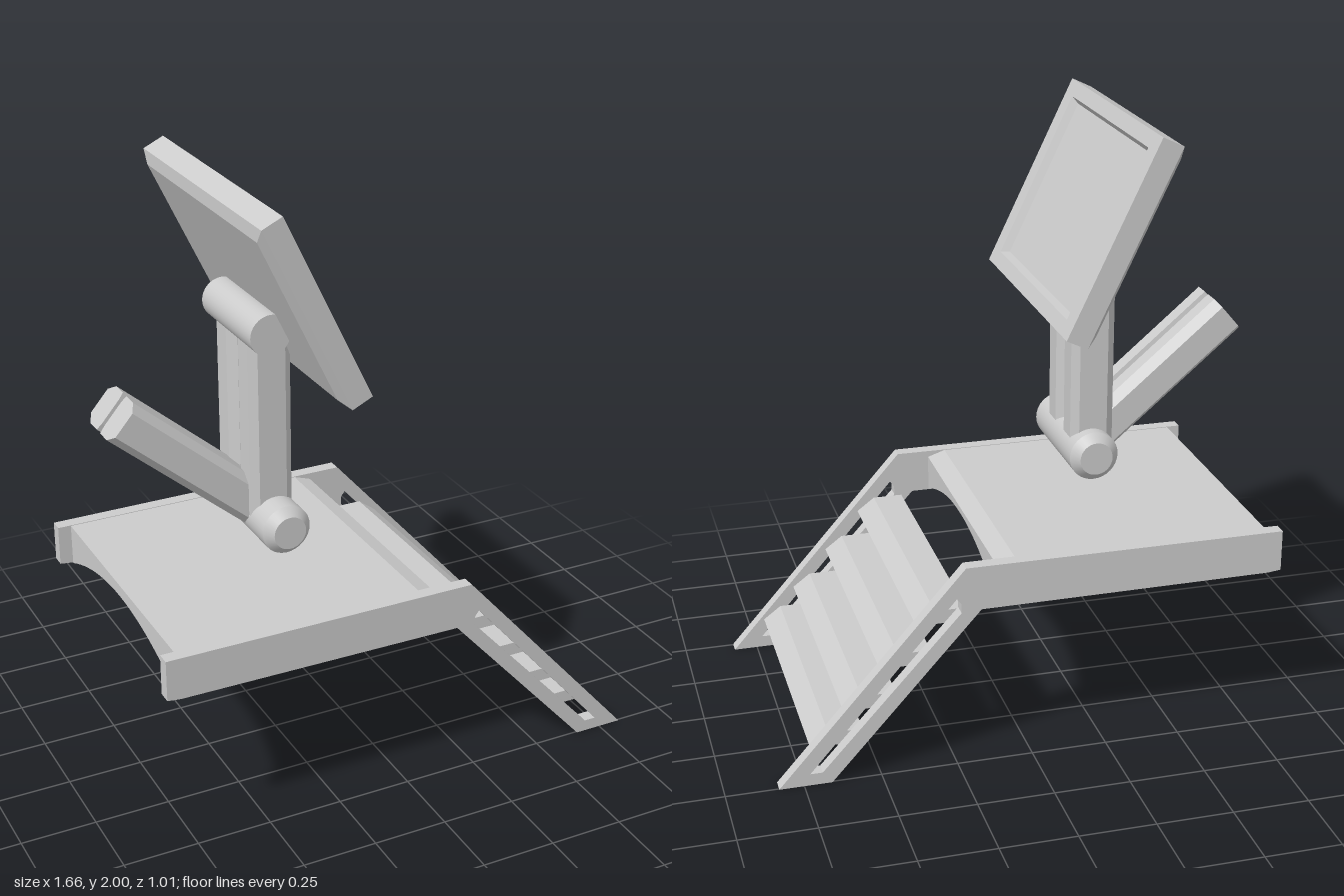
import * as THREE from 'three';

const material = new THREE.MeshStandardMaterial({ color: 0xcccccc });
const flatMaterial = new THREE.MeshStandardMaterial({ color: 0xcccccc, flatShading: true });

function polygon(points, Type = THREE.Shape) {
  return new Type(points.map(([x, y]) => new THREE.Vector2(x, y)));
}

function extrude(shape, depth) {
  return new THREE.ExtrudeGeometry(shape, { depth, bevelEnabled: false, curveSegments: 24 });
}

// Rectangular rings [halfWidth, halfHeight, z] joined into a closed, flat-sided body.
function loftRectangles(rings) {
  const positions = [];
  const corner = ([w, h, z], i) => [[-w, -h, z], [w, -h, z], [w, h, z], [-w, h, z]][i % 4];
  const quad = (a, b, c, d) => positions.push(...a, ...b, ...c, ...a, ...c, ...d);
  for (let r = 0; r < rings.length - 1; r++) {
    for (let i = 0; i < 4; i++) {
      quad(corner(rings[r], i), corner(rings[r], i + 1), corner(rings[r + 1], i + 1), corner(rings[r + 1], i));
    }
  }
  const first = rings[0], last = rings[rings.length - 1];
  quad(corner(first, 3), corner(first, 2), corner(first, 1), corner(first, 0));
  quad(corner(last, 0), corner(last, 1), corner(last, 2), corner(last, 3));
  const geometry = new THREE.BufferGeometry();
  geometry.setAttribute('position', new THREE.Float32BufferAttribute(positions, 3));
  geometry.computeVertexNormals();
  return geometry;
}

export function createModel() {
  const model = new THREE.Group();
  model.name = 'deckWithScreenArm';

  function add(name, geometry, x = 0, y = 0, z = 0, mat = material) {
    const mesh = new THREE.Mesh(geometry, mat);
    mesh.name = name;
    mesh.position.set(x, y, z);
    model.add(mesh);
    return mesh;
  }

  // Side rails: deck edge and stair stringer in one piece, with a long slot
  const railShape = polygon([
    [-0.835, 0.555], [-0.835, 0.692], [0.22, 0.692], [0.83, 0], [0.66, 0], [0.17, 0.545], [-0.79, 0.55],
  ]);
  railShape.holes.push(polygon([
    [0.25, 0.59], [0.235, 0.57], [0.235, 0.54], [0.69, 0.04], [0.73, 0.04],
  ], THREE.Path));
  const railGeometry = extrude(railShape, 0.045);
  add('leftRail', railGeometry, 0, 0, 0.46);
  add('rightRail', railGeometry, 0, 0, -0.505);

  // Deck: arched underside, front lip sloping down
  const deckShape = new THREE.Shape();
  deckShape.moveTo(-0.46, 0.69);
  deckShape.lineTo(-0.46, 0.547);
  deckShape.quadraticCurveTo(0, 0.753, 0.46, 0.547);
  deckShape.lineTo(0.46, 0.69);
  add('deck', extrude(deckShape, 0.84).rotateY(Math.PI / 2), -0.79);
  const lip = extrude(deckShape, 0.06).rotateY(Math.PI / 2);
  const p = lip.attributes.position;
  for (let i = 0; i < p.count; i++) {
    if (p.getX(i) > 0.03 && p.getY(i) > 0.68) p.setY(i, 0.67);
  }
  lip.computeVertexNormals();
  add('deckLip', lip, 0.05);

  // Stair treads with slanted fronts
  const treads = [[0.21, 0.31, 0.49], [0.325, 0.43, 0.355], [0.44, 0.55, 0.222], [0.55, 0.66, 0.107]];
  for (const [back, front, y] of treads) {
    const shape = polygon([[back, y + 0.045], [back + 0.05, y], [front + 0.06, y], [front, y + 0.045]]);
    add('tread', extrude(shape, 0.92), 0, 0, -0.46);
  }

  // Bars: chamfered prisms set in pairs, running up from a point at a tilt
  function barPair(name, x, y, tilt, length, halfWidth, inner, outer, innerCut, outerCut) {
    const h = halfWidth, c = 0.025;
    for (const s of [-1, 1]) {
      const section = polygon([
        [-h, inner + innerCut], [-h + c, inner], [h - c, inner], [h, inner + innerCut],
        [h, outer - outerCut], [h - c, outer], [-h + c, outer], [-h, outer - outerCut],
      ].map(([u, v]) => [u, v * s]));
      const bar = add(name, extrude(section, length).rotateX(-Math.PI / 2), x, y, 0.004);
      bar.rotation.z = tilt;
    }
  }
  barPair('uprightBar', -0.307, 0.88, 0, 0.66, 0.072, 0.012, 0.138, 0.035, 0.02);
  barPair('leaningBar', -0.3, 0.88, 0.863, 0.64, 0.07, 0.01, 0.106, 0.005, 0.035);

  // Lower hinge with bevelled ends
  const barrel = new THREE.CylinderGeometry(0.082, 0.082, 0.39, 32, 1, true).rotateX(Math.PI / 2);
  add('lowerHinge', barrel, -0.3, 0.88, 0.025);
  for (const s of [-1, 1]) {
    const cap = new THREE.CylinderGeometry(0.055, 0.082, 0.03, 32).rotateX(s * Math.PI / 2);
    add('lowerHingeEnd', cap, -0.3, 0.88, 0.025 + s * 0.21);
  }

  // Upper hinge
  const upper = new THREE.CylinderGeometry(0.068, 0.068, 0.37, 32).rotateX(Math.PI / 2);
  add('upperHinge', upper, -0.335, 1.54, 0.015);

  // Screen: chamfered back, raised rim, sunken panel
  const screen = add('screen', loftRectangles([
    [0.42, 0.298, -0.095], [0.45, 0.338, -0.075], [0.45, 0.338, 0],
    [0.38, 0.288, 0], [0.365, 0.274, -0.025],
  ]), -0.255, 1.695, -0.01, flatMaterial);
  screen.rotation.set(0, Math.PI / 2, 0.444, 'ZYX');

  return model;
}
